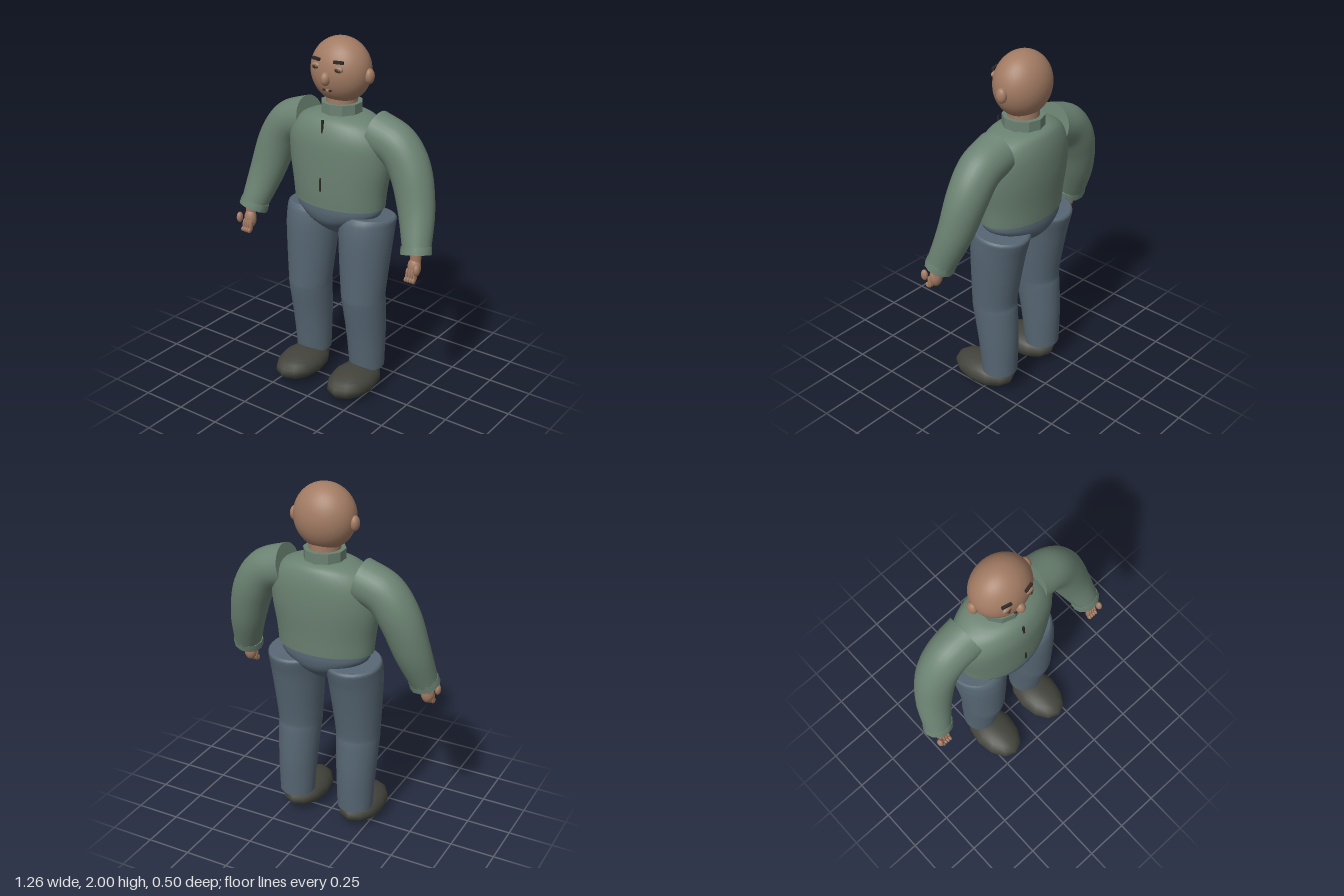
import * as THREE from 'three';

const mat = (name, color) => {
  const m = new THREE.MeshStandardMaterial({ color });
  m.name = name;
  return m;
};

// Smooth capped body through elliptical sections [x, y, z, rx, rz, tiltX, tiltZ], listed bottom to top.
function loft(sections, rows = 18, n = 28) {
  const curve = (f) => new THREE.CatmullRomCurve3(sections.map(f), false, 'catmullrom', 0.5);
  const path = curve((s) => new THREE.Vector3(s[0], s[1], s[2]));
  const radii = curve((s) => new THREE.Vector3(s[3], s[4], 0));
  const tilts = curve((s) => new THREE.Vector3(s[5] || 0, 0, s[6] || 0));
  const pos = [], index = [];
  for (let i = 0; i <= rows; i++) {
    const t = i / rows, c = path.getPoint(t), r = radii.getPoint(t), k = tilts.getPoint(t);
    const turn = new THREE.Euler(k.x, 0, k.z, 'ZYX');
    for (let j = 0; j < n; j++) {
      const a = (j / n) * Math.PI * 2;
      pos.push(...new THREE.Vector3(Math.cos(a) * r.x, 0, Math.sin(a) * r.y).applyEuler(turn).add(c).toArray());
      if (i < rows) {
        const p = i * n + j, q = i * n + ((j + 1) % n);
        index.push(p, p + n, q, q, p + n, q + n);
      }
    }
  }
  // End caps use their own vertices so the rims stay sharp.
  for (const [row, t] of [[0, 0], [rows, 1]]) {
    const base = pos.length / 3;
    pos.push(...path.getPoint(t).toArray());
    pos.push(...pos.slice(row * n * 3, (row + 1) * n * 3));
    for (let j = 0; j < n; j++) {
      const p = base + 1 + j, q = base + 1 + ((j + 1) % n);
      if (t) index.push(base, q, p);
      else index.push(base, p, q);
    }
  }
  const g = new THREE.BufferGeometry();
  g.setAttribute('position', new THREE.Float32BufferAttribute(pos, 3));
  g.setIndex(index);
  g.computeVertexNormals();
  return g;
}

export function createModel() {
  const model = new THREE.Group();
  model.name = 'standingMan';
  const skin = mat('skin', 0xa27b63);
  const jacket = mat('jacketGreen', 0x6b8272);
  const jeans = mat('trouserBlue', 0x566673);
  const leather = mat('shoeDark', 0x43433c);
  const dark = mat('darkDetail', 0x2c2826);
  const eyeBrown = mat('eyeBrown', 0x5e4636);

  const add = (name, geometry, material, parent = model) => {
    const m = new THREE.Mesh(geometry, material);
    m.name = name;
    parent.add(m);
    return m;
  };
  const ball = (name, material, p, r, parent = model, w = 20, h = 14) => {
    const m = add(name, new THREE.SphereGeometry(1, w, h), material, parent);
    m.position.set(...p);
    m.scale.set(...r);
    return m;
  };
  const box = (name, material, p, size, parent = model) => {
    const m = add(name, new THREE.BoxGeometry(...size), material, parent);
    m.position.set(...p);
    return m;
  };

  // Head and face
  const head = new THREE.Group();
  head.name = 'head';
  model.add(head);
  ball('skull', skin, [0, 1.825, -0.07], [0.17, 0.175, 0.143], head, 40, 28);
  ball('nose', skin, [0, 1.803, 0.07], [0.026, 0.036, 0.03], head);
  for (const s of [1, -1]) {
    ball('ear', skin, [s * 0.172, 1.812, -0.077], [0.025, 0.041, 0.031], head);
    ball('eyelid', skin, [s * 0.07, 1.86, 0.055], [0.028, 0.018, 0.014], head);
    ball('eye', eyeBrown, [s * 0.07, 1.857, 0.062], [0.019, 0.012, 0.012], head);
    ball('pupil', dark, [s * 0.07, 1.857, 0.07], [0.008, 0.009, 0.007], head, 12, 8);
    const brow = box('eyebrow', dark, [s * 0.07, 1.896, 0.053], [0.054, 0.015, 0.014], head);
    brow.rotation.y = s * 0.25;
    box('mouthCorner', dark, [s * 0.018, 1.74, 0.056], [0.014, 0.009, 0.009], head);
  }
  ball('lips', skin, [0, 1.738, 0.052], [0.016, 0.012, 0.008], head);

  // Neck and faceted collar
  const neck = add('neck', new THREE.CylinderGeometry(0.085, 0.085, 0.13, 24), skin);
  neck.position.set(0, 1.63, -0.075);
  const band = new THREE.CylinderGeometry(0.113, 0.113, 0.075, 10).toNonIndexed();
  band.computeVertexNormals();
  add('collar', band, jacket).position.set(0, 1.618, -0.075);

  // Jacket body and front zip
  add('jacketBody', loft([
    [0, 1.1, -0.06, 0.275, 0.172],
    [0, 1.2, -0.06, 0.285, 0.179],
    [0, 1.35, -0.065, 0.308, 0.187],
    [0, 1.47, -0.066, 0.303, 0.184],
    [0, 1.55, -0.07, 0.25, 0.165],
    [0, 1.59, -0.075, 0.17, 0.135],
    [0, 1.605, -0.075, 0.08, 0.08],
  ], 30, 40), jacket);
  const zip = box('zip', dark, [0, 1.395, 0.109], [0.01, 0.39, 0.01]);
  zip.rotation.x = -0.06;

  // Hips
  add('hips', loft([
    [0, 0.92, -0.06, 0.04, 0.05],
    [0, 0.96, -0.06, 0.1, 0.11],
    [0, 1.01, -0.06, 0.19, 0.155],
    [0, 1.06, -0.06, 0.25, 0.17],
    [0, 1.11, -0.06, 0.25, 0.17],
  ], 18, 36), jeans);

  for (const s of [1, -1]) {
    const side = s > 0 ? 'left' : 'right';

    // Trouser leg and shoe
    add(side + 'Leg', loft([
      [s * 0.185, 0.135, -0.067, 0.1, 0.098],
      [s * 0.184, 0.35, -0.056, 0.11, 0.115],
      [s * 0.182, 0.54, -0.034, 0.12, 0.127],
      [s * 0.18, 0.62, -0.03, 0.125, 0.127],
      [s * 0.177, 0.9, -0.053, 0.147, 0.153, -0.05],
      [s * 0.175, 1.0, -0.07, 0.152, 0.16, -0.1],
      [s * 0.175, 1.035, -0.08, 0.152, 0.157, -0.1],
      [s * 0.175, 1.048, -0.08, 0.142, 0.147, -0.1],
    ], 28), jeans);
    ball(side + 'Shoe', leather, [s * 0.18, 0.082, 0.052], [0.126, 0.081, 0.198], model, 12, 12);

    // Sleeve, from cuff to shoulder
    add(side + 'Sleeve', loft([
      [s * 0.545, 0.96, 0.02, 0.075, 0.075, -0.3, s * 0.25],
      [s * 0.497, 1.15, -0.045, 0.1, 0.092, -0.25, s * 0.28],
      [s * 0.437, 1.34, -0.078, 0.114, 0.106, -0.1, s * 0.5],
      [s * 0.35, 1.466, -0.084, 0.117, 0.113, 0, s * 0.95],
      [s * 0.217, 1.52, -0.083, 0.118, 0.118, 0, s * 1.36],
    ], 26), jacket);
    add(side + 'Cuff', loft([
      [s * 0.545, 0.945, 0.025, 0.085, 0.08, -0.3, s * 0.22],
      [s * 0.537, 0.985, 0.013, 0.083, 0.079, -0.3, s * 0.22],
    ], 2, 12), jacket);

    // Hand
    const hand = new THREE.Group();
    hand.name = side + 'Hand';
    model.add(hand);
    const wrist = add('wrist', new THREE.CylinderGeometry(0.03, 0.028, 0.09, 14), skin, hand);
    wrist.position.set(s * 0.552, 0.935, 0.038);
    ball('palm', skin, [s * 0.55, 0.882, 0.048], [0.037, 0.055, 0.032], hand);
    ball('thumb', skin, [s * 0.591, 0.893, 0.092], [0.017, 0.031, 0.021], hand, 14, 10);
    for (let i = 0; i < 4; i++) {
      const x = s * (0.526 + i * 0.0155);
      ball('finger', skin, [x, 0.848, 0.074], [0.009, 0.036, 0.016], hand, 12, 10);
      ball('fingertip', skin, [x, 0.824, 0.088], [0.009, 0.016, 0.016], hand, 12, 8);
    }
  }
  return model;
}
